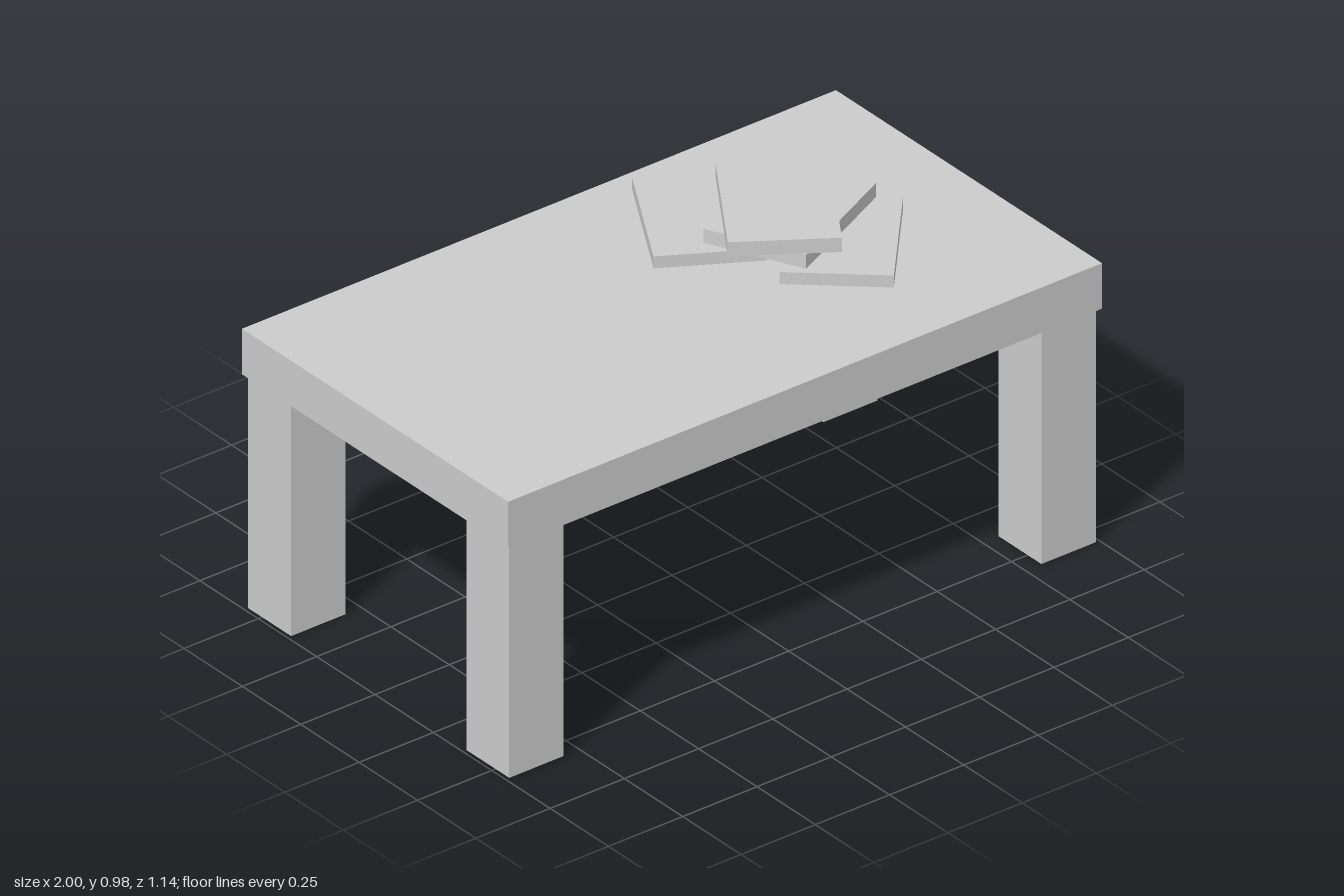
import * as THREE from 'three';

const material = new THREE.MeshStandardMaterial({ color: 0xcccccc, flatShading: true });

// A box resting with its underside at height y
function slab(name, [w, h, d], [x, y, z], turn = 0) {
  const mesh = new THREE.Mesh(new THREE.BoxGeometry(w, h, d), material);
  mesh.name = name;
  mesh.position.set(x, y + h / 2, z);
  mesh.rotation.y = turn;
  return mesh;
}

export function createModel() {
  const table = new THREE.Group();
  table.name = 'tableWithBooks';

  // Thick table top
  table.add(slab('tableTop', [2, 0.14, 1.14], [0, 0.72, 0]));

  // Four square legs, slightly inset from the edge of the top
  for (const [sx, side] of [[1, 'Left'], [-1, 'Right']]) {
    for (const [sz, end] of [[1, 'front'], [-1, 'back']]) {
      table.add(slab(`${end}${side}Leg`, [0.183, 0.72, 0.184], [sx * 0.896, 0, sz * 0.467]));
    }
  }

  // Stack of books: two side by side, then two more laid across them
  const books = new THREE.Group();
  books.name = 'bookStack';
  const layout = [
    ['lowerBackBook', 0.285, 0.86, -0.245, 0.037, -0.528],
    ['lowerFrontBook', 0.513, 0.86, 0.073, 0.037, -0.726],
    ['middleBook', 0.45, 0.897, -0.068, 0.043, -1.127],
    ['topBook', 0.4, 0.94, -0.052, 0.044, -0.588],
  ];
  for (const [name, x, y, z, thickness, turn] of layout) {
    books.add(slab(name, [0.303, thickness, 0.415], [x, y, z], turn));
  }
  table.add(books);

  return table;
}
